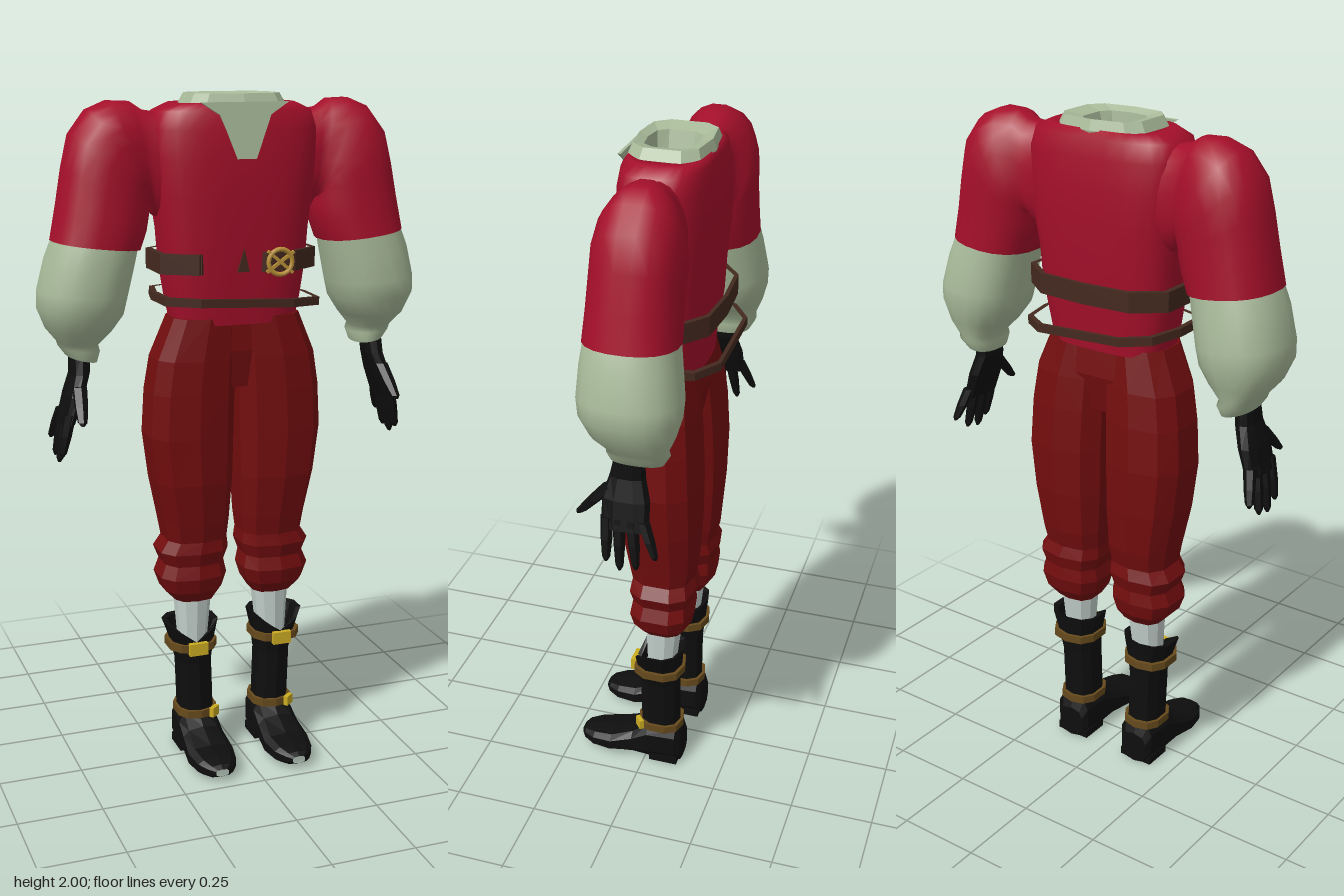
import * as THREE from 'three';

const mat = (name, color) => new THREE.MeshStandardMaterial({ name, color });
const M = {
  shirt: mat('crimson cloth', 0xa50f2a),
  pants: mat('dark red cloth', 0x730d0e),
  linen: mat('pale green linen', 0xa9bb9a),
  sock: mat('pale stocking', 0xc3d0cb),
  black: mat('black leather', 0x0e0e0e),
  belt: mat('dark brown leather', 0x44291f),
  strap: mat('tan strap', 0x664a1c),
  gold: mat('yellow metal', 0xccac22),
  brass: mat('brass', 0xbd9238),
};

const V = (x, y, z) => new THREE.Vector3(x, y, z);

// Superellipse ring around c, spanned by half axes u and v
function ring(c, u, v, n = 2.4, seg = 10) {
  const pow = t => Math.sign(t) * Math.abs(t) ** (2 / n);
  return Array.from({ length: seg }, (_, i) => {
    const a = (i + 0.5) / seg * Math.PI * 2;
    return c.clone().addScaledVector(u, pow(Math.cos(a))).addScaledVector(v, pow(Math.sin(a)));
  });
}

// Ring whose sides pass through (x0,y0) and (x1,y1), reaching from z0 to z1
const span = (x0, y0, x1, y1, z0, z1, n, seg) => ring(
  V((x0 + x1) / 2, (y0 + y1) / 2, (z0 + z1) / 2),
  V((x1 - x0) / 2, (y1 - y0) / 2, 0), V(0, 0, (z1 - z0) / 2), n, seg);

// Skin through rings with capped ends, turned to face outward
function loft(rings, flat = true) {
  const seg = rings[0].length, pts = rings.flat(), tris = [];
  for (let r = 0; r < rings.length - 1; r++)
    for (let i = 0; i < seg; i++) {
      const j = (i + 1) % seg, a = r * seg;
      tris.push([a + i, a + seg + i, a + j], [a + j, a + seg + i, a + seg + j]);
    }
  for (const [r, flip] of [[rings[0], false], [rings.at(-1), true]]) {
    const b = pts.length;
    pts.push(...r.map(p => p.clone()), r.reduce((s, p) => s.add(p), V(0, 0, 0)).divideScalar(seg));
    for (let i = 0; i < seg; i++) {
      const j = (i + 1) % seg;
      tris.push(flip ? [b + j, b + seg, b + i] : [b + i, b + j, b + seg].slice());
    }
  }
  const o = pts[0];
  const volume = tris.reduce((s, [a, b, c]) => s + pts[a].clone().sub(o).dot(
    pts[b].clone().sub(o).cross(pts[c].clone().sub(o))), 0);
  if (volume < 0) tris.forEach(t => t.reverse());
  let g = new THREE.BufferGeometry().setFromPoints(pts);
  g.setIndex(tris.flat());
  if (flat) g = g.toNonIndexed();
  g.computeVertexNormals();
  return g;
}

// Flat strap following a closed outline of [x, z] points, h tall and centred on y = 0
function band(outline, h, inner = 0.93) {
  const p = outline.map(([x, z]) => new THREE.Vector2(x, z));
  const mid = p.reduce((s, q) => s.add(q), new THREE.Vector2()).divideScalar(p.length);
  const shape = new THREE.Shape(p);
  shape.holes.push(new THREE.Path(p.map(q => q.clone().sub(mid).multiplyScalar(inner).add(mid))));
  return new THREE.ExtrudeGeometry(shape, { depth: h, bevelEnabled: false })
    .rotateX(Math.PI / 2).translate(0, h / 2, 0);
}

const plate = (pts, depth) => new THREE.ExtrudeGeometry(
  new THREE.Shape(pts.map(p => new THREE.Vector2(...p))), { depth, bevelEnabled: false });

export function createModel() {
  const model = new THREE.Group();
  const add = (name, geo, material, x = 0, y = 0, z = 0, parent = model) => {
    const m = new THREE.Mesh(geo, material);
    m.name = name;
    m.position.set(x, y, z);
    parent.add(m);
    return m;
  };

  // Shirt body, rolled inward at the neck
  add('shirtBody', loft([
    [1.35, 0.185, -0.14, 0.06], [1.42, 0.2, -0.145, 0.065], [1.52, 0.215, -0.16, 0.075],
    [1.62, 0.222, -0.165, 0.08], [1.72, 0.236, -0.175, 0.086], [1.82, 0.245, -0.175, 0.087],
    [1.9, 0.245, -0.17, 0.082], [1.95, 0.23, -0.16, 0.073], [1.972, 0.18, -0.15, 0.062],
    [1.965, 0.12, -0.13, 0.045], [1.9, 0.11, -0.12, 0.04],
  ].map(([y, w, z0, z1]) => span(-w, y, w, y, z0, z1, 3, 28)), false), M.shirt);

  // Collar with open neck, and the linen showing in the neckline
  add('collar', loft([
    [1.94, 0.14, -0.15, 0.065], [1.968, 0.146, -0.155, 0.07], [1.997, 0.13, -0.145, 0.058],
    [1.985, 0.08, -0.11, 0.035], [1.925, 0.065, -0.1, 0.03],
  ].map(([y, w, z0, z1]) => span(-w, y, w, y, z0, z1, 3.4, 10))), M.linen);
  add('neckline', plate([[-0.028, 0], [0.028, 0], [0.075, 0.12], [0.13, 0.155],
    [-0.13, 0.155], [-0.075, 0.12]], 0.008), M.linen, 0, 1.82, 0.083).rotation.x = -0.1;

  // Waist belt, loose lower belt, buckle and lace tab
  add('waistBelt', band([[-0.236, 0.02], [-0.14, 0.083], [-0.12, 0.06], [0.04, 0.06], [0.06, 0.088],
    [0.15, 0.083], [0.236, 0.02], [0.236, -0.12], [0.15, -0.185], [0, -0.195], [-0.15, -0.185],
    [-0.236, -0.12]], 0.058), M.belt, 0, 1.53, 0);
  add('lowerBelt', band([[-0.235, 0.06], [-0.14, 0.098], [0.14, 0.098], [0.235, 0.06], [0.24, -0.06],
    [0.215, -0.165], [0.14, -0.217], [-0.14, -0.217], [-0.215, -0.165], [-0.24, -0.06]], 0.024),
    M.belt, 0, 1.417, 0).rotation.z = -0.05;
  add('laceTab', plate([[-0.02, -0.03], [0.015, -0.03], [0, 0.035]], 0.008), M.belt, -0.005, 1.535, 0.075);
  const buckle = new THREE.Group();
  buckle.name = 'buckle';
  buckle.position.set(0.1, 1.53, 0.092);
  model.add(buckle);
  add('buckleRing', new THREE.TorusGeometry(0.036, 0.007, 6, 20), M.brass, 0, 0, 0, buckle);
  for (const a of [0.6, -0.7])
    add('buckleBar', new THREE.BoxGeometry(0.1, 0.009, 0.008), M.brass, 0, 0, 0, buckle).rotation.z = a;

  // Seat of the trousers
  add('trouserSeat', loft([[1.38, 0.185, -0.125, 0.045], [1.27, 0.2, -0.14, 0.048], [1.16, 0.1, -0.12, 0.03]]
    .map(([y, w, z0, z1]) => span(-w, y, w, y, z0, z1, 3, 12))), M.pants);

  for (const s of [1, -1]) {
    const side = s > 0 ? 'left' : 'right';
    const limb = (rows, n, seg, flat) => loft(rows.map(([x0, y0, x1, y1, z0, z1]) =>
      span(s * x0, y0, s * x1, y1, z0, z1, n, seg)), flat);
    const level = (rows, n, seg, flat) => limb(rows.map(([y, x0, x1, z0, z1]) =>
      [x0, y, x1, y, z0, z1]), n, seg, flat);

    // Puffed sleeve, fanning round the underarm
    add(side + 'Sleeve', limb([
      [0.2, 1.64, 0.2, 1.945, -0.14, 0.03], [0.235, 1.66, 0.265, 1.955, -0.135, 0.02],
      [0.245, 1.68, 0.3, 1.978, -0.145, 0.025], [0.25, 1.69, 0.36, 1.98, -0.165, 0.04],
      [0.25, 1.69, 0.42, 1.955, -0.178, 0.055], [0.25, 1.68, 0.47, 1.89, -0.18, 0.062],
      [0.25, 1.66, 0.492, 1.8, -0.178, 0.065], [0.258, 1.62, 0.51, 1.7, -0.178, 0.07],
      [0.278, 1.57, 0.53, 1.6, -0.18, 0.076],
    ], 2.3, 20, false), M.shirt);

    // Billowing linen cuff
    add(side + 'Cuff', limb([
      [0.285, 1.575, 0.526, 1.605, -0.177, 0.072], [0.298, 1.52, 0.548, 1.55, -0.187, 0.078],
      [0.318, 1.44, 0.57, 1.46, -0.2, 0.082], [0.33, 1.39, 0.572, 1.41, -0.197, 0.075],
      [0.365, 1.34, 0.548, 1.35, -0.182, 0.045], [0.4, 1.3, 0.515, 1.31, -0.165, 0.005],
      [0.395, 1.282, 0.51, 1.295, -0.168, 0.005], [0.405, 1.25, 0.49, 1.268, -0.15, -0.005],
    ], 2.3, 20, false), M.linen);

    // Gloved hand: palm, four fingers, thumb
    add(side + 'Palm', level([
      [1.29, 0.425, 0.485, -0.1, -0.02], [1.22, 0.432, 0.488, -0.105, -0.005],
      [1.16, 0.452, 0.505, -0.122, 0.012], [1.08, 0.482, 0.522, -0.125, 0.008],
    ], 2.6, 10), M.black);
    const finger = (name, a, b, r) => add(name, loft([[0, 1], [0.5, 0.92], [0.9, 0.65], [1, 0.25]].map(([t, k]) => {
      const c = V(...a).lerp(V(...b), t);
      c.x *= s;
      return ring(c, V(r * k, 0, 0), V(0, 0, r * k), 2, 6);
    })), M.black);
    [[-0.008, -0.012, 0.985], [-0.042, -0.05, 0.962], [-0.078, -0.096, 0.972], [-0.11, -0.15, 1.012]]
      .forEach(([z0, z1, y]) => finger(side + 'Finger', [0.5, 1.11, z0], [0.526, y, z1], 0.018));
    finger(side + 'Thumb', [0.47, 1.19, -0.01], [0.485, 1.095, 0.078], 0.022);

    // Trouser leg gathered below the knee
    add(side + 'TrouserLeg', level([
      [1.37, 0, 0.195, -0.13, 0.058], [1.25, 0, 0.245, -0.15, 0.068], [1.15, 0.003, 0.261, -0.16, 0.07],
      [1.02, 0.006, 0.268, -0.167, 0.071], [0.88, 0.01, 0.25, -0.166, 0.068],
      [0.75, 0.018, 0.224, -0.157, 0.05], [0.695, 0.024, 0.215, -0.145, 0.04],
      [0.66, 0.02, 0.238, -0.155, 0.046], [0.62, 0.034, 0.222, -0.145, 0.036],
      [0.58, 0.026, 0.238, -0.15, 0.045], [0.535, 0.04, 0.222, -0.14, 0.035],
      [0.5, 0.062, 0.188, -0.115, 0.01],
    ], 2.8, 10), M.pants);
    add(side + 'Stocking', level([[0.53, 0.066, 0.184, -0.11, 0.005], [0.35, 0.085, 0.172, -0.09, -0.002]],
      2.2, 10), M.sock);

    // Boot shaft with a dipped, flared top
    const shaft = [[0.05, 0.072, 0.178, -0.108, 0.015], [0.14, 0.07, 0.177, -0.105, 0.02],
      [0.3, 0.075, 0.182, -0.105, 0.022], [0.37, 0.066, 0.2, -0.112, 0.03], [0.43, 0.052, 0.222, -0.118, 0.032],
      [0.425, 0.066, 0.206, -0.106, 0.02], [0.35, 0.075, 0.185, -0.1, 0.015]]
      .map(([y, x0, x1, z0, z1]) => span(s * x0, y, s * x1, y, z0, z1, 2.4, 10));
    for (const r of [shaft[4], shaft[5]])
      r.forEach((p, i) => { if (i === 2) p.y -= 0.055; else if (i === 1 || i === 3) p.y -= 0.02; });
    add(side + 'BootShaft', loft(shaft), M.black);

    // Foot: [z, half width, bottom, top]
    add(side + 'Foot', loft([
      [-0.115, 0.045, 0, 0.1], [-0.1, 0.058, 0, 0.14], [-0.01, 0.064, 0, 0.14], [0.04, 0.066, 0.008, 0.1],
      [0.11, 0.073, 0.005, 0.07], [0.17, 0.062, 0.006, 0.06], [0.205, 0.04, 0.012, 0.052], [0.218, 0.02, 0.02, 0.042],
    ].map(([z, w, y0, y1]) => ring(V(s * 0.123, (y0 + y1) / 2, z), V(w, 0, 0), V(0, (y1 - y0) / 2, 0), 3, 10))), M.black);
    add(side + 'Heel', new THREE.BoxGeometry(0.11, 0.025, 0.09), M.black, s * 0.123, 0.0125, -0.062);

    // Straps and buckles
    for (const [y, x, w, z, d] of [[0.357, 0.135, 0.077, -0.042, 0.08], [0.135, 0.123, 0.064, -0.043, 0.072]]) {
      const outline = ring(V(0, 0, 0), V(w, 0, 0), V(0, 0, d), 2.5, 10).map(p => [p.x, p.z]);
      add(side + 'BootStrap', band(outline, 0.024, 0.86), M.strap, s * x, y, z);
    }
    add(side + 'UpperBuckle', new THREE.BoxGeometry(0.058, 0.038, 0.016), M.gold, s * 0.135, 0.357, 0.036);
    add(side + 'LowerBuckle', new THREE.BoxGeometry(0.034, 0.03, 0.014), M.gold, s * 0.123 + 0.044, 0.135, 0.016)
      .rotation.y = 0.7;
  }
  return model;
}
